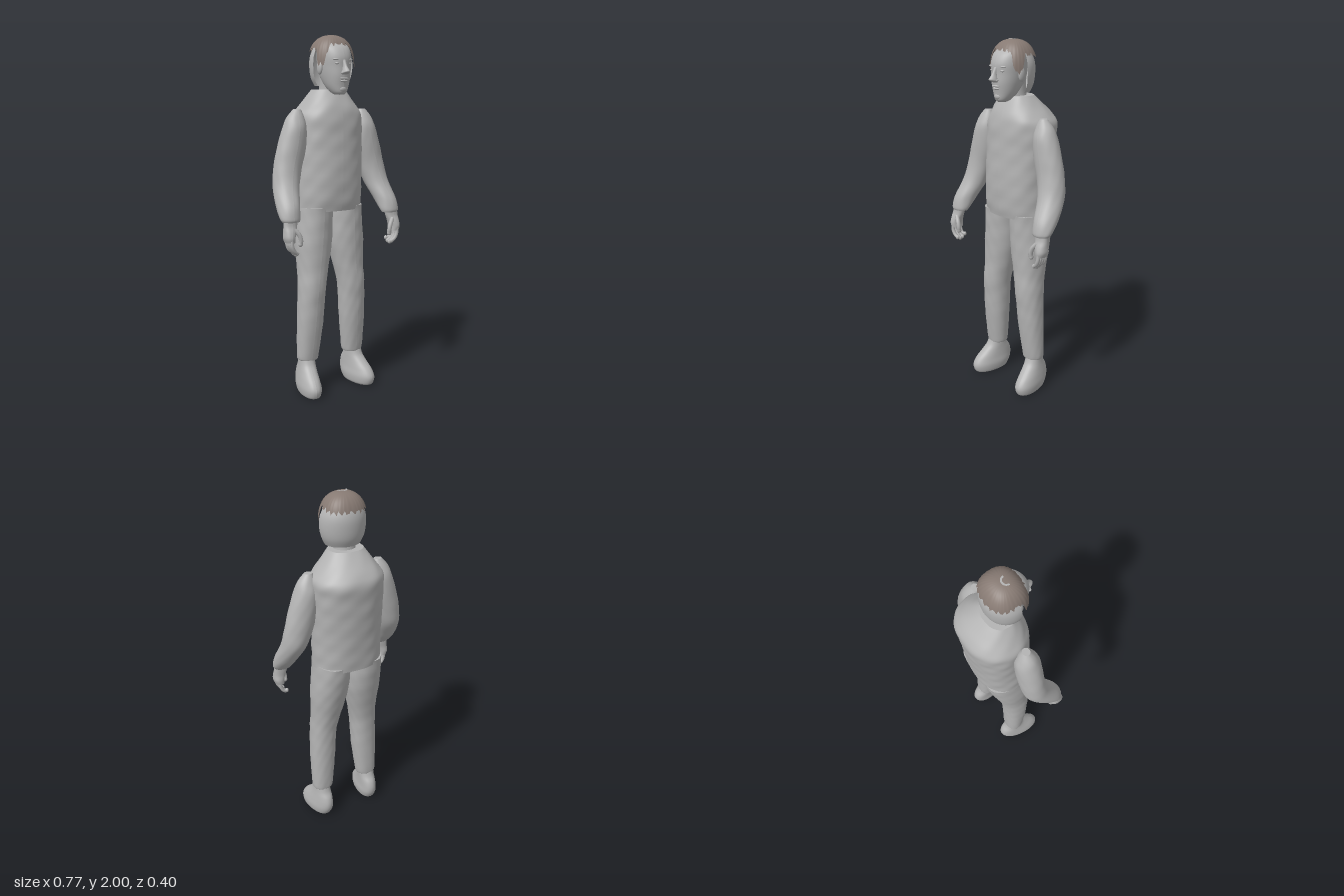
import * as THREE from 'three';

const grey = new THREE.MeshStandardMaterial({ color: 0xb3b3b3, side: THREE.DoubleSide });
grey.name = 'plain grey';
const brown = new THREE.MeshStandardMaterial({ color: 0x877a73, side: THREE.DoubleSide });
brown.name = 'hair brown';

const mesh = (name, geometry, material = grey) => {
  const m = new THREE.Mesh(geometry, material);
  m.name = name;
  return m;
};
const signedPow = (v, p) => Math.sign(v) * Math.abs(v) ** p;

// Surface from a point rule over a grid of u (round) and v (along)
function gridGeometry(cols, rows, point, capped = false) {
  const pos = [], idx = [];
  for (let j = 0; j <= rows; j++)
    for (let i = 0; i <= cols; i++) pos.push(...point(i / cols, j / rows));
  const w = cols + 1;
  for (let j = 0; j < rows; j++)
    for (let i = 0; i < cols; i++) {
      const a = j * w + i;
      idx.push(a, a + 1, a + w + 1, a, a + w + 1, a + w);
    }
  if (capped)
    for (const v of [0, 1]) {
      const base = pos.length / 3;
      const c = [0, 0, 0];
      for (let i = 0; i <= cols; i++) {
        const p = point(i / cols, v);
        pos.push(...p);
        if (i < cols) p.forEach((q, k) => { c[k] += q / cols; });
      }
      pos.push(...c);
      for (let i = 0; i < cols; i++)
        idx.push(base + w, base + i + (v ? 0 : 1), base + i + (v ? 1 : 0));
    }
  const g = new THREE.BufferGeometry();
  g.setAttribute('position', new THREE.Float32BufferAttribute(pos, 3));
  g.setIndex(idx);
  g.computeVertexNormals();
  return g;
}

// Smooth value of every column of a section table at t in 0..1
function sample(sections, t) {
  const s = t * (sections.length - 1), k = Math.min(Math.floor(s), sections.length - 2), f = s - k;
  const at = (i) => sections[Math.max(0, Math.min(sections.length - 1, i))];
  const [a, b, c, d] = [at(k - 1), at(k), at(k + 1), at(k + 2)];
  return b.map((_, i) => b[i] + 0.5 * f * (c[i] - a[i]
    + f * (2 * a[i] - 5 * b[i] + 4 * c[i] - d[i] + f * (3 * (b[i] - c[i]) + d[i] - a[i]))));
}

// Loft through sections [y, centre x, half width, front z, back z], bottom to top
function loft(sections, { n = 2, bump = 0, from = 0, to = Math.PI * 2, cols = 40, capped = true } = {}) {
  return gridGeometry(cols, (sections.length - 1) * 5, (u, v) => {
    const [y, cx, rx, front, back] = sample(sections, v);
    const a = from + u * (to - from);
    const k = 1 + bump * (Math.sin(a * 4 + y * 23) * Math.sin(y * 37 - a * 2) + 0.5 * Math.sin(a * 9 - y * 51));
    return [
      cx + k * rx * signedPow(Math.sin(a), 2 / n), y,
      (front + back) / 2 + k * (front - back) / 2 * signedPow(Math.cos(a), 2 / n),
    ];
  }, capped);
}

function ball(name, x, y, z, rx, ry, rz) {
  const m = mesh(name, new THREE.SphereGeometry(1, 18, 12));
  m.position.set(x, y, z);
  m.scale.set(rx, ry, rz);
  return m;
}

function finger(name, points, r) {
  const g = new THREE.Group();
  g.name = name;
  const path = new THREE.CatmullRomCurve3(points.map((p) => new THREE.Vector3(...p)));
  g.add(mesh(name + 'Length', new THREE.TubeGeometry(path, 10, r, 8)));
  g.add(ball(name + 'Tip', ...points[points.length - 1], r, r * 1.2, r));
  return g;
}

// Leg, foot, sleeve and hand of the +x side
function makeSide(name) {
  const g = new THREE.Group();
  g.name = name;
  g.add(mesh('trouserLeg', loft([
    [0.19, 0.152, 0.056, 0.066, -0.036], [0.22, 0.152, 0.064, 0.072, -0.04],
    [0.4, 0.143, 0.074, 0.095, -0.042], [0.52, 0.138, 0.076, 0.104, -0.045],
    [0.62, 0.132, 0.078, 0.112, -0.052], [0.72, 0.12, 0.086, 0.108, -0.07],
    [0.86, 0.108, 0.102, 0.112, -0.105], [0.98, 0.101, 0.101, 0.116, -0.132],
    [1.07, 0.098, 0.098, 0.12, -0.145],
  ], { n: 2.2, bump: 0.012 })));

  // Shoe, turned slightly outward
  const shoe = mesh('shoe', loft([
    [0, 0, 0.045, 0.155, -0.04], [0.012, 0, 0.055, 0.172, -0.055],
    [0.05, 0, 0.06, 0.18, -0.075], [0.09, 0, 0.055, 0.158, -0.08],
    [0.13, -0.002, 0.05, 0.115, -0.07], [0.165, -0.004, 0.047, 0.08, -0.048],
    [0.205, -0.005, 0.045, 0.062, -0.034],
  ], { n: 2.2 }));
  shoe.position.x = 0.162;
  shoe.rotation.y = 0.16;
  g.add(shoe);

  g.add(mesh('sleeve', loft([
    [1.02, 0.326, 0.048, 0.178, 0.105], [1.04, 0.327, 0.057, 0.182, 0.085],
    [1.1, 0.32, 0.064, 0.166, 0.03], [1.2, 0.297, 0.073, 0.112, -0.033],
    [1.3, 0.274, 0.08, 0.088, -0.048], [1.4, 0.248, 0.082, 0.084, -0.052],
    [1.5, 0.229, 0.068, 0.08, -0.05], [1.56, 0.222, 0.05, 0.06, -0.03],
    [1.605, 0.212, 0.022, 0.035, -0.005],
  ], { bump: 0.008 })));

  // Hand with curled fingers
  const hand = new THREE.Group();
  hand.name = 'hand';
  hand.add(mesh('palm', loft([
    [0.915, 0.343, 0.026, 0.192, 0.12], [0.94, 0.347, 0.03, 0.195, 0.118],
    [0.97, 0.342, 0.034, 0.188, 0.122], [1.0, 0.336, 0.038, 0.176, 0.122],
    [1.03, 0.332, 0.04, 0.172, 0.122],
  ], { n: 2.3, cols: 24 })));
  for (let i = 0; i < 4; i++) {
    const z = 0.184 - i * 0.018, low = 0.848 + [0.008, 0, 0.004, 0.018][i];
    hand.add(finger('finger', [
      [0.348, 0.93, z], [0.345, 0.895, z + 0.002], [0.33, 0.868, z], [0.313, low, z - 0.003],
    ], 0.0105));
  }
  hand.add(finger('thumb', [
    [0.325, 0.985, 0.172], [0.302, 0.955, 0.184], [0.293, 0.925, 0.187], [0.294, 0.905, 0.184],
  ], 0.0125));
  g.add(hand);
  return g;
}

function makeHead() {
  const g = new THREE.Group();
  g.name = 'head';
  g.add(mesh('neck', loft([
    [1.66, 0, 0.07, 0.07, -0.06], [1.72, 0, 0.06, 0.07, -0.045], [1.8, 0, 0.062, 0.08, -0.045],
  ])));
  g.add(mesh('face', loft([
    [1.682, 0, 0.022, 0.132, 0.085], [1.695, 0, 0.04, 0.146, 0.05], [1.73, 0, 0.06, 0.151, 0.01],
    [1.78, 0, 0.075, 0.158, -0.03], [1.83, 0, 0.083, 0.157, -0.045], [1.88, 0, 0.087, 0.157, -0.05],
    [1.925, 0, 0.085, 0.138, -0.05], [1.955, 0, 0.07, 0.104, -0.035], [1.98, 0, 0.035, 0.065, 0],
  ], { n: 2.15 })));
  g.add(mesh('nose', loft([
    [1.788, 0, 0.015, 0.172, 0.14], [1.796, 0, 0.021, 0.19, 0.14], [1.806, 0, 0.018, 0.198, 0.14],
    [1.83, 0, 0.011, 0.178, 0.14], [1.865, 0, 0.011, 0.161, 0.14],
  ], { cols: 20 })));
  g.add(ball('upperLip', 0, 1.767, 0.154, 0.028, 0.006, 0.011));
  g.add(ball('lowerLip', 0, 1.754, 0.152, 0.024, 0.007, 0.011));
  g.add(ball('chin', 0, 1.712, 0.138, 0.024, 0.018, 0.015));
  for (const s of [-1, 1]) {
    g.add(ball('eye', s * 0.036, 1.846, 0.142, 0.015, 0.007, 0.01));
    g.add(ball('brow', s * 0.038, 1.867, 0.14, 0.024, 0.006, 0.012));
    g.add(ball('nostril', s * 0.014, 1.797, 0.162, 0.009, 0.008, 0.012));
    g.add(ball('ear', s * 0.092, 1.825, 0.055, 0.012, 0.036, 0.022));
  }

  // Open shell round the back of the skull
  g.add(mesh('skullShell', loft([
    [1.73, 0, 0.098, 0.12, -0.055], [1.77, 0, 0.117, 0.135, -0.072], [1.82, 0, 0.127, 0.15, -0.08],
    [1.875, 0, 0.125, 0.15, -0.081], [1.92, 0, 0.108, 0.13, -0.069], [1.955, 0, 0.085, 0.1, -0.045],
    [1.978, 0, 0.045, 0.06, -0.01],
  ], { from: Math.PI * 0.47, to: Math.PI * 1.53, capped: false })));

  // Hair cap: high over the brow, long at the temples, ragged at the edge
  const hairEdge = (a) => {
    const f = Math.cos(a);
    const jag = 0.009 * Math.sin(a * 23) + 0.005 * Math.sin(a * 41);
    const step = (e, w) => THREE.MathUtils.smoothstep(f, e - w, e + w);
    return 1.915 + 0.01 * step(-0.3, 0.3) - 0.085 * step(0.3, 0.12) + 0.105 * step(0.76, 0.12) + jag;
  };
  g.add(mesh('hair', gridGeometry(96, 24, (u, v) => {
    const a = u * Math.PI * 2, edge = hairEdge(a);
    const y = edge + (2 - edge) * Math.sin(v * Math.PI / 2);
    const h = Math.max(0, Math.min(1, (y - 1.84) / 0.16));
    const s = Math.max(0, 1 - h ** 2.4) ** (1 / 2.4) * (1 + 0.008 * Math.sin(a * 32));
    return [0.124 * s * signedPow(Math.sin(a), 0.84), y, 0.025 + 0.112 * s * signedPow(Math.cos(a), 0.84)];
  }), brown));

  // Small bare arc at the crown
  const crown = mesh('crownPatch', new THREE.RingGeometry(0.019, 0.028, 20, 1, 0, Math.PI));
  crown.rotation.x = -Math.PI / 2;
  crown.position.set(-0.005, 2.0, 0.043);
  g.add(crown);
  return g;
}

export function createModel() {
  const model = new THREE.Group();
  model.name = 'standingMan';

  model.add(mesh('jacket', loft([
    [1.05, 0, 0.197, 0.132, -0.155], [1.12, 0, 0.198, 0.142, -0.16], [1.25, 0.002, 0.196, 0.146, -0.17],
    [1.4, 0.005, 0.198, 0.14, -0.184], [1.5, 0.008, 0.2, 0.136, -0.193], [1.565, 0.01, 0.198, 0.132, -0.198],
    [1.61, 0.008, 0.172, 0.122, -0.175], [1.66, 0.003, 0.133, 0.102, -0.13], [1.71, 0, 0.096, 0.076, -0.08],
  ], { n: 2.25, bump: 0.01, cols: 64 })));

  const left = makeSide('leftLimbs');
  const right = makeSide('rightLimbs');
  right.scale.x = -1;
  model.add(left, right, makeHead());
  return model;
}
